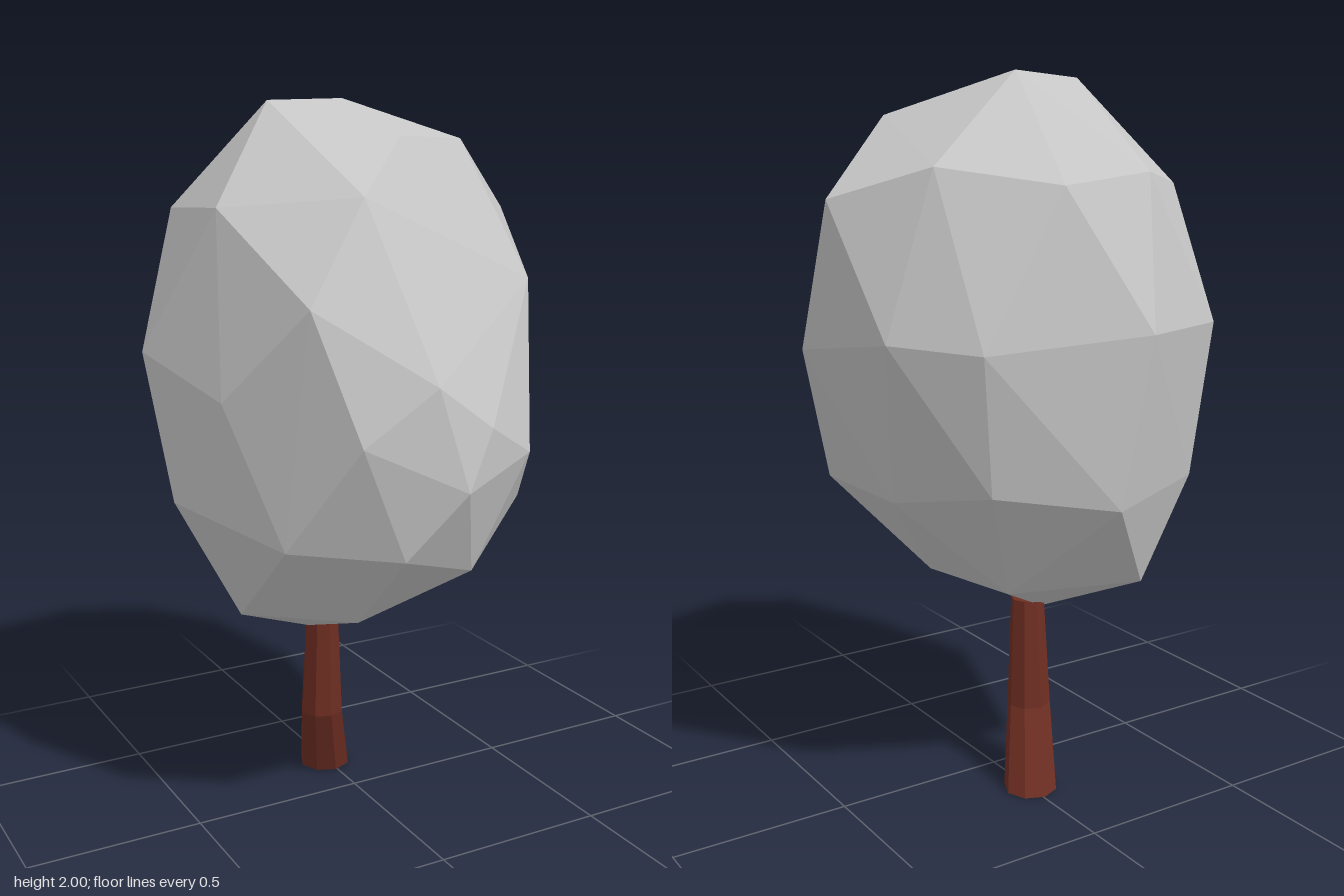
import * as THREE from 'three';
import { ConvexGeometry } from 'three/addons/geometries/ConvexGeometry.js';

const foliage = new THREE.MeshStandardMaterial({ color: 0xc6c6c6, flatShading: true });
foliage.name = 'foliage grey';
const bark = new THREE.MeshStandardMaterial({ color: 0x6e2e22, flatShading: true });
bark.name = 'bark brown';

// Irregular faceted crown: uneven rings of corners [x, y, z] wrapped in a hull
function makeCrown() {
  const tip = [[-0.11, 0.5, -0.08]];
  const lowRing = [
    [0.16, 0.615, 0.09], [-0.12, 0.615, 0.24], [-0.377, 0.62, 0.04],
    [-0.27, 0.62, -0.34], [0.1, 0.62, -0.23],
  ];
  const lowerRing = [
    [0.12, 0.78, 0.425], [0.41, 0.9, 0.22], [0.4, 0.9, -0.13], [0.27, 0.955, -0.41],
    [-0.05, 0.9, -0.525], [-0.4, 0.92, -0.38], [-0.55, 0.955, 0.01],
    [-0.38, 0.875, 0.33], [-0.127, 0.86, 0.5],
  ];
  const middleRing = [
    [0.01, 1.04, 0.577], [0.28, 1.09, 0.45], [0.57, 1.3, 0.03], [0.51, 1.35, -0.31],
    [0.335, 1.33, -0.475], [-0.1, 1.36, -0.58], [-0.425, 1.35, -0.43],
    [-0.573, 1.34, -0.13], [-0.49, 1.25, 0.2], [-0.26, 1.17, 0.52],
    [-0.07, 1.31, 0.557], [0.1, 1.19, 0.54],
  ];
  const upperRing = [
    [-0.35, 1.5, 0.42], [0.41, 1.52, 0.24], [0.57, 1.69, -0.13], [0.39, 1.77, -0.34],
    [0.11, 1.725, -0.485], [-0.205, 1.75, -0.415], [-0.44, 1.71, -0.23],
    [-0.445, 1.725, 0.09], [-0.155, 1.755, 0.335],
  ];
  const topRing = [
    [0.06, 1.9, 0.14], [0.335, 1.89, 0.003], [0.09, 2.0, -0.237], [-0.225, 1.99, -0.068],
  ];
  const points = [tip, lowRing, lowerRing, middleRing, upperRing, topRing]
    .flat().map((p) => new THREE.Vector3(...p));
  return new THREE.Mesh(new ConvexGeometry(points), foliage);
}

// Bent, tapering trunk: each level of a unit cylinder moves to its own section
function makeTrunk() {
  const sections = [
    { x: -0.005, y: 0, z: -0.185, r: 0.076 },
    { x: -0.06, y: 0.22, z: -0.095, r: 0.063 },
    { x: -0.065, y: 0.535, z: -0.078, r: 0.048 },
  ];
  const geometry = new THREE.CylinderGeometry(1, 1, 2, 8, 2);
  const position = geometry.attributes.position;
  for (let i = 0; i < position.count; i++) {
    const s = sections[Math.round(position.getY(i)) + 1];
    position.setXYZ(i, s.x + position.getX(i) * s.r, s.y, s.z + position.getZ(i) * s.r);
  }
  geometry.computeVertexNormals();
  return new THREE.Mesh(geometry, bark);
}

export function createModel() {
  const tree = new THREE.Group();
  tree.name = 'tree';
  const crown = makeCrown();
  crown.name = 'crown';
  const trunk = makeTrunk();
  trunk.name = 'trunk';
  tree.add(crown, trunk);
  return tree;
}
